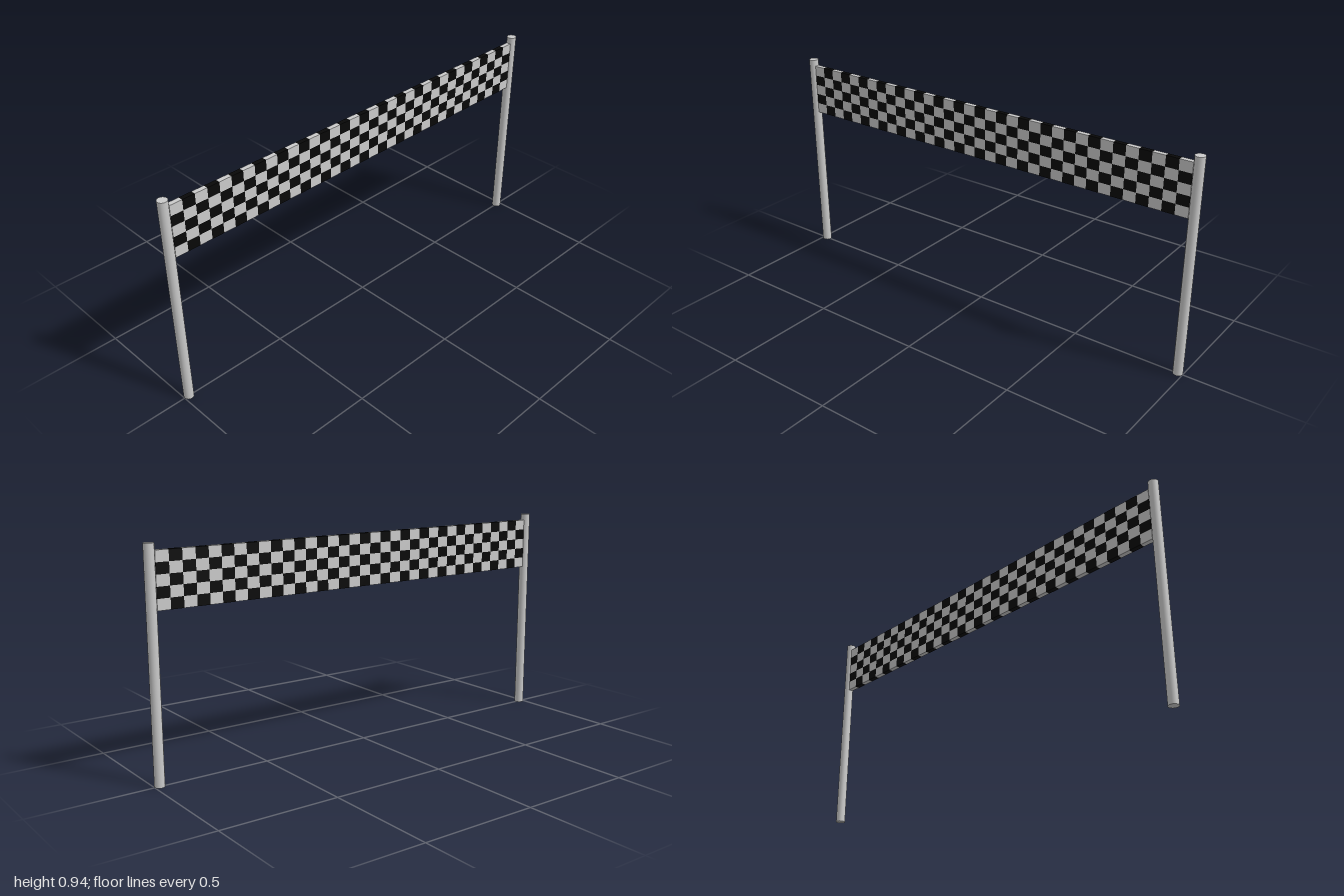
import * as THREE from 'three';

const grey = new THREE.MeshStandardMaterial({ color: 0xcccccc });
const black = new THREE.MeshStandardMaterial({ color: 0x080808 });

const POST = { x: 0.979, radius: 0.021, height: 0.937 };
const BANNER = { width: 1.92, height: 0.226, depth: 0.021, y: 0.796, cols: 35, rows: 5 };

// Keeps only the faces of the banner slab that belong to one checker colour
function checkerGeometry(parity) {
  const { width, height, depth, cols, rows } = BANNER;
  const geometry = new THREE.BoxGeometry(width, height, depth, cols, rows, 1);
  const pos = geometry.attributes.position;
  const cell = (v, size, n) =>
    THREE.MathUtils.clamp(Math.floor((v / size + 0.5) * n), 0, n - 1);
  const source = geometry.index.array;
  const kept = [];
  for (let i = 0; i < source.length; i += 3) {
    const tri = [source[i], source[i + 1], source[i + 2]];
    const cx = tri.reduce((s, k) => s + pos.getX(k), 0) / 3;
    const cy = tri.reduce((s, k) => s + pos.getY(k), 0) / 3;
    if ((cell(cx, width, cols) + cell(cy, height, rows)) % 2 === parity) kept.push(...tri);
  }
  geometry.setIndex(kept);
  geometry.clearGroups();
  return geometry;
}

export function createModel() {
  const model = new THREE.Group();
  model.name = 'finishGate';

  // Two round upright posts
  const postGeometry = new THREE.CylinderGeometry(POST.radius, POST.radius, POST.height, 16);
  for (const [name, side] of [['leftPost', 1], ['rightPost', -1]]) {
    const post = new THREE.Mesh(postGeometry, grey);
    post.name = name;
    post.position.set(side * POST.x, POST.height / 2, 0);
    model.add(post);
  }

  // Checkered banner: light squares in the corners, dark squares between
  const banner = new THREE.Group();
  banner.name = 'banner';
  banner.position.y = BANNER.y;
  [['lightSquares', grey], ['darkSquares', black]].forEach(([name, material], parity) => {
    const squares = new THREE.Mesh(checkerGeometry(parity), material);
    squares.name = name;
    banner.add(squares);
  });
  model.add(banner);

  return model;
}
